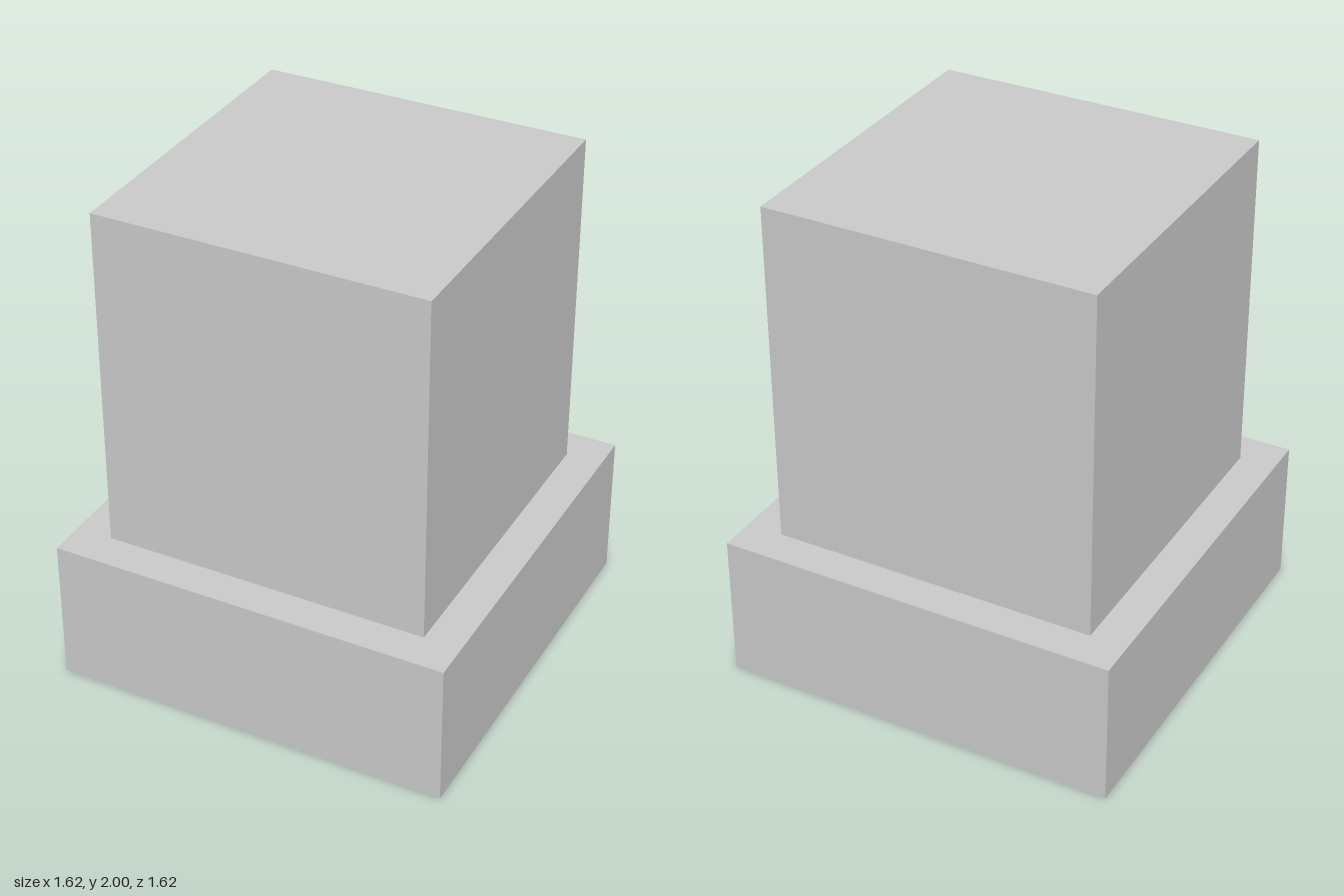
import * as THREE from 'three';

export function createModel() {
  const model = new THREE.Group();
  model.name = 'pedestal';
  const material = new THREE.MeshStandardMaterial({ color: 0xcccccc, flatShading: true });

  // Square block standing on the given height
  const addBlock = (name, width, bottom, top) => {
    const block = new THREE.Mesh(new THREE.BoxGeometry(width, top - bottom, width), material);
    block.name = name;
    block.position.y = (bottom + top) / 2;
    model.add(block);
  };

  addBlock('base', 1.624, 0, 0.593);
  addBlock('column', 1.326, 0.593, 2);
  return model;
}
